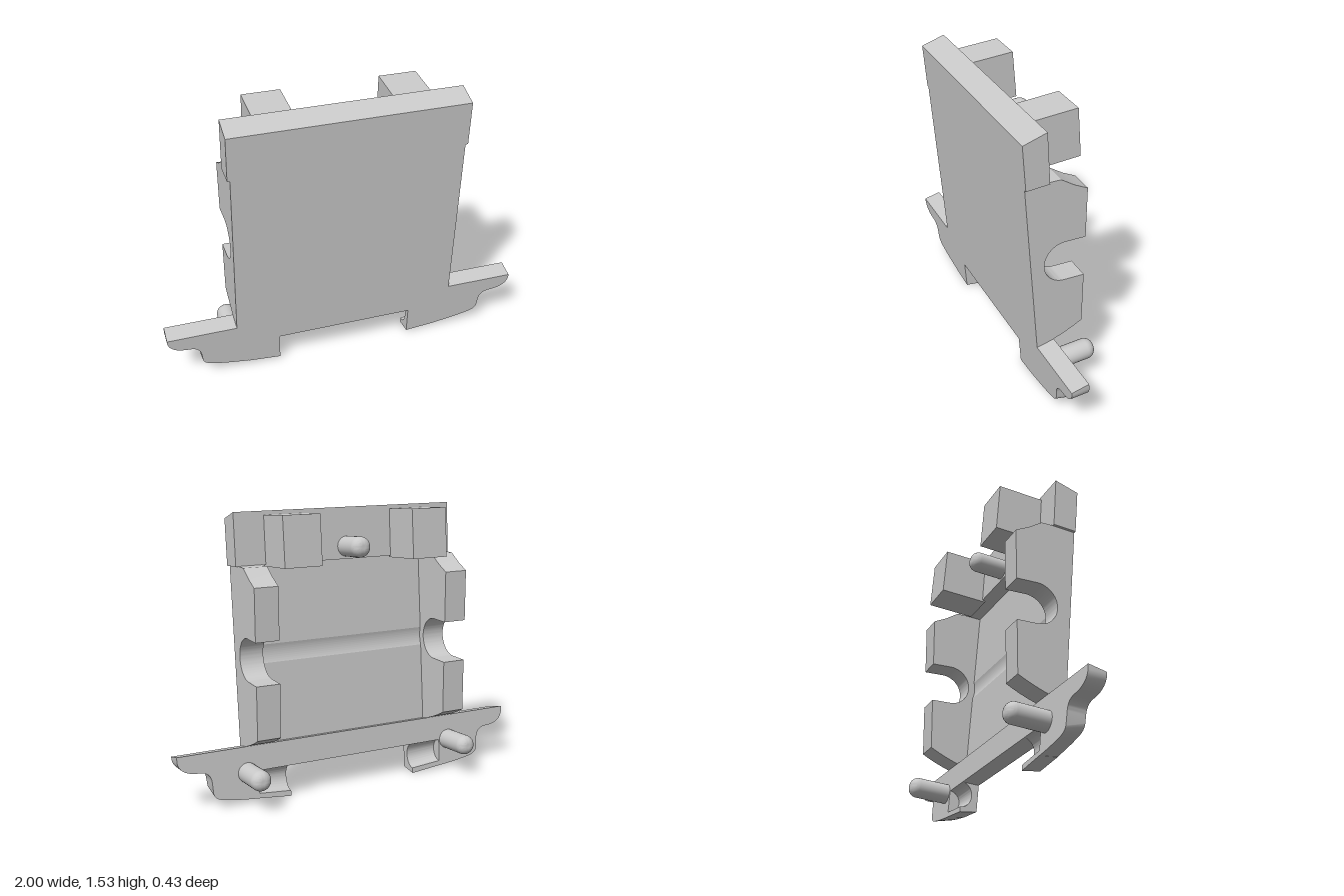
import * as THREE from 'three';
import { toCreasedNormals } from 'three/addons/utils/BufferGeometryUtils.js';

const TILT = 0.085;      // lean of the plate towards the front
const FRONT = 0.0885;    // plate front and back, measured across the tilted plate
const BACK = -0.008;
const PANEL_BACK = 0.047;

export function createModel() {
  const model = new THREE.Group();
  model.name = 'bracketPlate';
  const grey = new THREE.MeshStandardMaterial({ color: 0xcacaca });
  grey.name = 'grey';

  const tilted = new THREE.Group();
  tilted.name = 'tiltedPlate';
  tilted.rotation.x = TILT;
  model.add(tilted);

  const add = (parent, name, geometry) => {
    const mesh = new THREE.Mesh(geometry, grey);
    mesh.name = name;
    parent.add(mesh);
    return mesh;
  };
  const toShape = (pts) => new THREE.Shape(pts.map(([x, y]) => new THREE.Vector2(x, y)));
  const moveVertices = (geometry, rule) => {
    const p = geometry.attributes.position;
    const v = new THREE.Vector3();
    for (let i = 0; i < p.count; i++) {
      rule(v.fromBufferAttribute(p, i));
      p.setXYZ(i, v.x, v.y, v.z);
    }
    return geometry;
  };
  const crease = (geometry) => toCreasedNormals(geometry, 0.3);

  // Side profile drawn as (-z, y), extruded from x0 to x1
  const sideExtrude = (shape, x0, x1) =>
    new THREE.ExtrudeGeometry(shape, { depth: x1 - x0, bevelEnabled: false, curveSegments: 24 })
      .rotateY(Math.PI / 2).translate(x0, 0, 0);
  const span = (side, a, b) => (side > 0 ? [a, b] : [-b, -a]);
  // -z of a tilted plane at height y
  const plane = (w, y) => -(w + y * Math.sin(TILT)) / Math.cos(TILT);

  // Thin main panel with a shallow groove across its back
  const panel = new THREE.Shape();
  panel.moveTo(plane(FRONT, 0.27), 0.27);
  panel.lineTo(plane(PANEL_BACK, 0.27), 0.27);
  panel.absarc(0.03, 0.785, 0.152, Math.PI + TILT + 0.334, Math.PI + TILT - 0.334, true);
  panel.lineTo(plane(PANEL_BACK, 1.27), 1.27);
  panel.lineTo(plane(FRONT, 1.27), 1.27);
  add(model, 'panel', crease(sideExtrude(panel, -0.49, 0.49)));

  // Side cheeks with a round notch open to the back
  const cheek = new THREE.Shape();
  cheek.moveTo(plane(FRONT, 0.28), 0.28);
  cheek.quadraticCurveTo(0.03, 0.32, 0.14, 0.385);
  cheek.lineTo(0.14, 0.672);
  cheek.lineTo(0.03, 0.672);
  cheek.absarc(0.03, 0.785, 0.113, -Math.PI / 2, Math.PI / 2, true);
  cheek.lineTo(0.14, 0.898);
  cheek.lineTo(0.14, 1.175);
  cheek.lineTo(0.07, 1.208);
  cheek.lineTo(-0.005, 1.255);
  cheek.lineTo(plane(FRONT, 1.255), 1.255);

  // Header bar with sloping top
  const header = toShape([[-FRONT, 1.255], [0.037, 1.255], [0.041, 1.53], [-FRONT, 1.498]]);
  add(tilted, 'headerBar', sideExtrude(header, -0.634, 0.634));

  // Base bridge between the feet
  const bridge = toShape([[-FRONT, 0.17], [-BACK, 0.17], [-BACK, 0.31], [-FRONT, 0.294]]);
  add(tilted, 'baseBridge', sideExtrude(bridge, -0.56, 0.56));

  // Inner end of a foot, hollowed from the back
  const innerFoot = new THREE.Shape();
  innerFoot.moveTo(-FRONT, 0.018);
  innerFoot.lineTo(-BACK, 0);
  innerFoot.lineTo(-BACK, 0.03);
  innerFoot.absellipse(-BACK, 0.1, 0.06, 0.07, -Math.PI / 2, Math.PI / 2, true, 0);
  innerFoot.lineTo(-FRONT, 0.17);

  // Outer foot outline with a curved wing
  const footOutline = (side) => {
    const s = new THREE.Shape();
    s.moveTo(side * 0.56, 0.294);
    s.lineTo(side * 0.56, 0.036);
    s.quadraticCurveTo(side * 0.68, 0.05, side * 0.765, 0.071);
    s.quadraticCurveTo(side * 0.813, 0.083, side * 0.816, 0.115);
    s.lineTo(side * 0.82, 0.15);
    s.quadraticCurveTo(side * 0.825, 0.205, side * 0.885, 0.208);
    s.quadraticCurveTo(side * 0.99, 0.212, side * 1, 0.28);
    s.lineTo(side * 1, 0.294);
    return s;
  };

  // Round-ended pin pointing backwards
  const pinProfile = [new THREE.Vector2(0.055, 0)];
  for (let i = 0; i <= 8; i++) {
    const a = (i / 8) * Math.PI / 2;
    pinProfile.push(new THREE.Vector2(0.01 + 0.045 * Math.cos(a), 0.182 + 0.045 * Math.sin(a)));
  }
  pinProfile.push(new THREE.Vector2(0, 0.227));
  const pinGeometry = crease(new THREE.LatheGeometry(pinProfile, 32).rotateX(-Math.PI / 2));
  const addPin = (name, x, y, z) => add(tilted, name, pinGeometry).position.set(x, y, z);
  addPin('topPin', 0, 1.322, -0.006);

  for (const side of [1, -1]) {
    const label = side > 0 ? 'left' : 'right';
    add(model, label + 'Cheek', crease(sideExtrude(cheek, ...span(side, 0.49, 0.62))));

    // The underside rises gently towards the outer foot
    const inner = moveVertices(sideExtrude(innerFoot, ...span(side, 0.38, 0.56)), (v) => {
      v.y += (Math.abs(v.x) - 0.38) * 0.1 * (1 - v.y / 0.17);
    });
    add(tilted, label + 'InnerFoot', crease(inner));

    // The outer foot flares towards the back at its top and bottom
    const outer = new THREE.ExtrudeGeometry(footOutline(side),
      { depth: FRONT - BACK, bevelEnabled: false, curveSegments: 10 }).translate(0, 0, BACK);
    moveVertices(outer, (v) => {
      if (v.z > 0.04) return;
      if (v.y > 0.29) v.y += 0.016;
      else if (v.y < 0.13) v.y -= 0.018 + (Math.abs(v.x) - 0.56) * 0.04;
    });
    add(tilted, label + 'Foot', crease(outer));

    addPin(label + 'FootPin', side * 0.62, 0.168, 0);

    // Block standing out behind the header
    add(tilted, label + 'Block', new THREE.BoxGeometry(0.205, 0.262, 0.265))
      .position.set(side * 0.367, 1.377, -0.1525);
  }
  return model;
}
